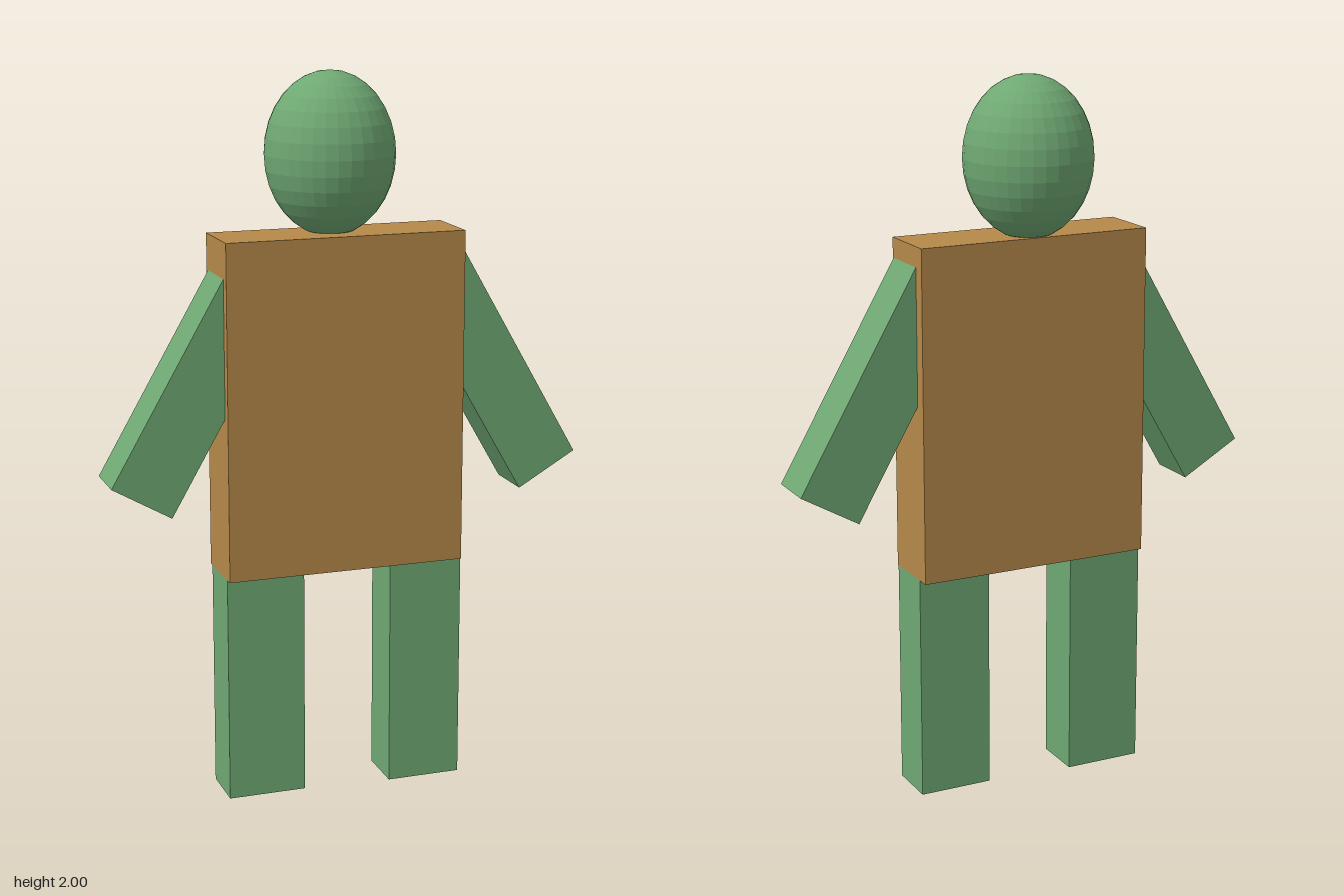
import * as THREE from 'three';

export function createModel() {
  const model = new THREE.Group();
  const skin = new THREE.MeshStandardMaterial({ color: 0x6fa873, flatShading: true });
  const cloth = new THREE.MeshStandardMaterial({ color: 0xb5894a, flatShading: true });

  const add = (name, geometry, material, x, y, z) => {
    const mesh = new THREE.Mesh(geometry, material);
    mesh.name = name;
    mesh.position.set(x, y, z);
    model.add(mesh);
    return mesh;
  };

  // Box spanning the given ranges
  const block = (name, material, [x0, x1], [y0, y1], [z0, z1]) =>
    add(name, new THREE.BoxGeometry(x1 - x0, y1 - y0, z1 - z0), material,
      (x0 + x1) / 2, (y0 + y1) / 2, (z0 + z1) / 2);

  // Torso and legs
  block('torso', cloth, [-0.35, 0.325], [0.64, 1.57], [-0.068, 0.12]);
  block('leftLeg', skin, [0.115, 0.325], [0, 0.64], [-0.03, 0.115]);
  block('rightLeg', skin, [-0.35, -0.13], [0, 0.64], [-0.052, 0.095]);

  // Egg-shaped head
  add('head', new THREE.SphereGeometry(1, 32, 16), skin, -0.022, 1.778, 0)
    .scale.set(0.178, 0.222, 0.178);

  // Arms slant 30 degrees outwards from inside the torso
  const tilt = Math.PI / 6, length = 0.7;
  for (const [name, side, z] of [['leftArm', 1, 0.042], ['rightArm', -1, 0.02]]) {
    const x = side * (0.583 - Math.sin(tilt) * length / 2);
    const y = 0.877 + Math.cos(tilt) * length / 2;
    add(name, new THREE.BoxGeometry(0.19, length, 0.147), skin, x, y, z)
      .rotation.z = side * tilt;
  }

  return model;
}
